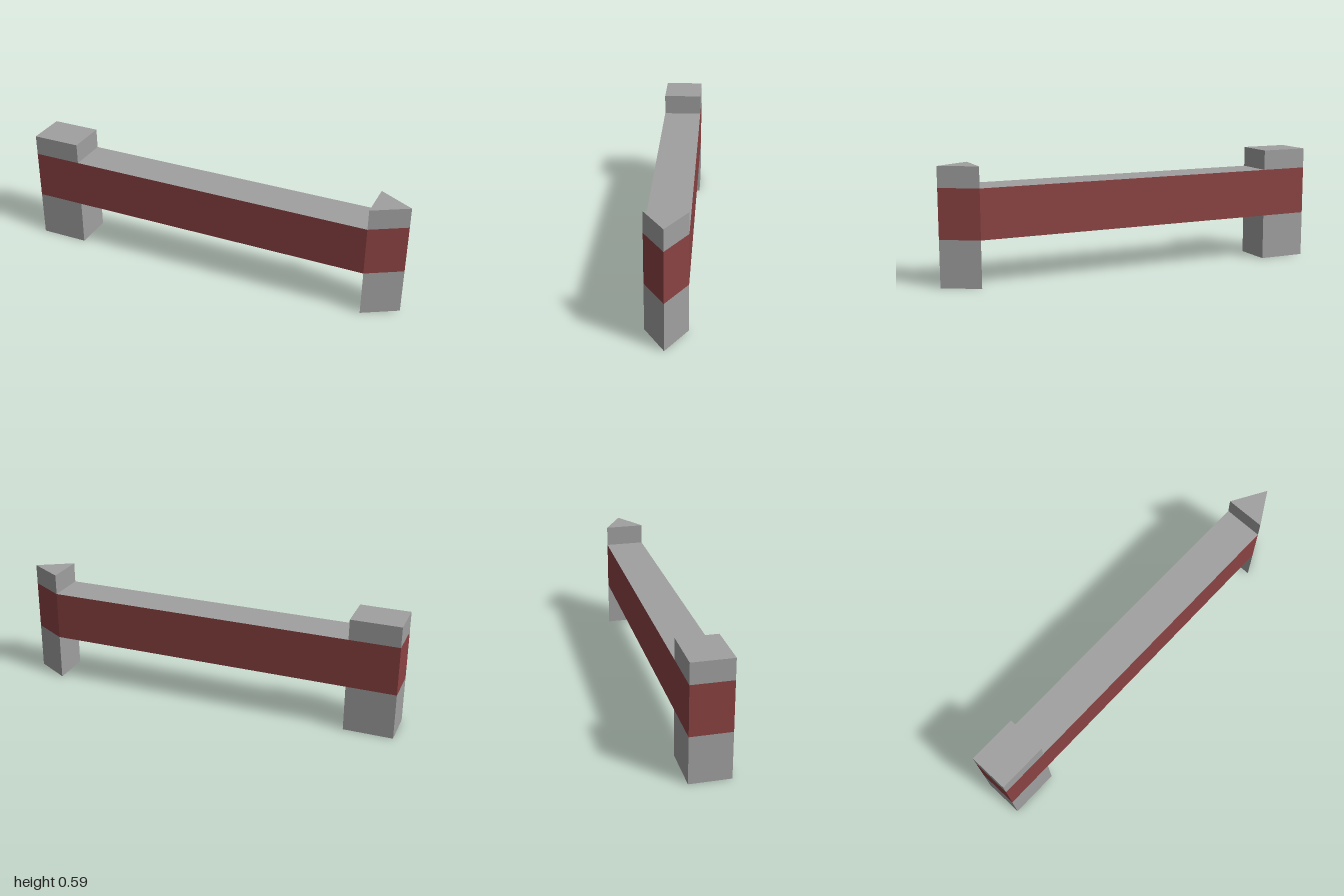
import * as THREE from 'three';

export function createModel() {
  const grey = new THREE.MeshStandardMaterial({ color: 0xa0a0a0 });
  grey.name = 'concrete grey';
  const red = new THREE.MeshStandardMaterial({ color: 0x8b4242 });
  red.name = 'dark red';

  const H = 0.587, BAND_LOW = 0.235, BAND_HIGH = 0.483, D = 0.101;
  const POST_END = -0.75, NOSE_START = 0.825;

  const model = new THREE.Group();
  model.name = 'barrier';

  // Upright prism from a plan outline, between two heights
  function prism(name, outline, y0, y1, material) {
    const shape = new THREE.Shape(outline.map(([x, z]) => new THREE.Vector2(x, z)));
    const geometry = new THREE.ExtrudeGeometry(shape, { depth: y1 - y0, bevelEnabled: false });
    geometry.rotateX(-Math.PI / 2);
    const mesh = new THREE.Mesh(geometry, material);
    mesh.name = name;
    mesh.position.y = y0;
    model.add(mesh);
    return mesh;
  }

  const postPlan = [[-1, -D], [POST_END, -D], [POST_END, D], [-1, D]];
  const nosePlan = [[NOSE_START, -D], [1, 0], [NOSE_START, D]];
  const beamPlan = [[-1, -D], [NOSE_START, -D], [1, 0], [NOSE_START, D], [-1, D]];

  // Square post and pointed nose, above and below the beam
  for (const [name, plan] of [['Post', postPlan], ['Nose', nosePlan]]) {
    prism('lower' + name, plan, 0, BAND_LOW, grey);
    prism('upper' + name, plan, BAND_HIGH, H, grey);
  }

  // Beam running through both ends: red sides and underside, grey top
  const beam = prism('beam', beamPlan, BAND_LOW, BAND_HIGH, [red, grey]);
  const capCount = (beamPlan.length - 2) * 3;
  const total = beam.geometry.attributes.position.count;
  beam.geometry.clearGroups();
  beam.geometry.addGroup(0, capCount, 0);
  beam.geometry.addGroup(capCount, capCount, 1);
  beam.geometry.addGroup(2 * capCount, total - 2 * capCount, 0);

  return model;
}
